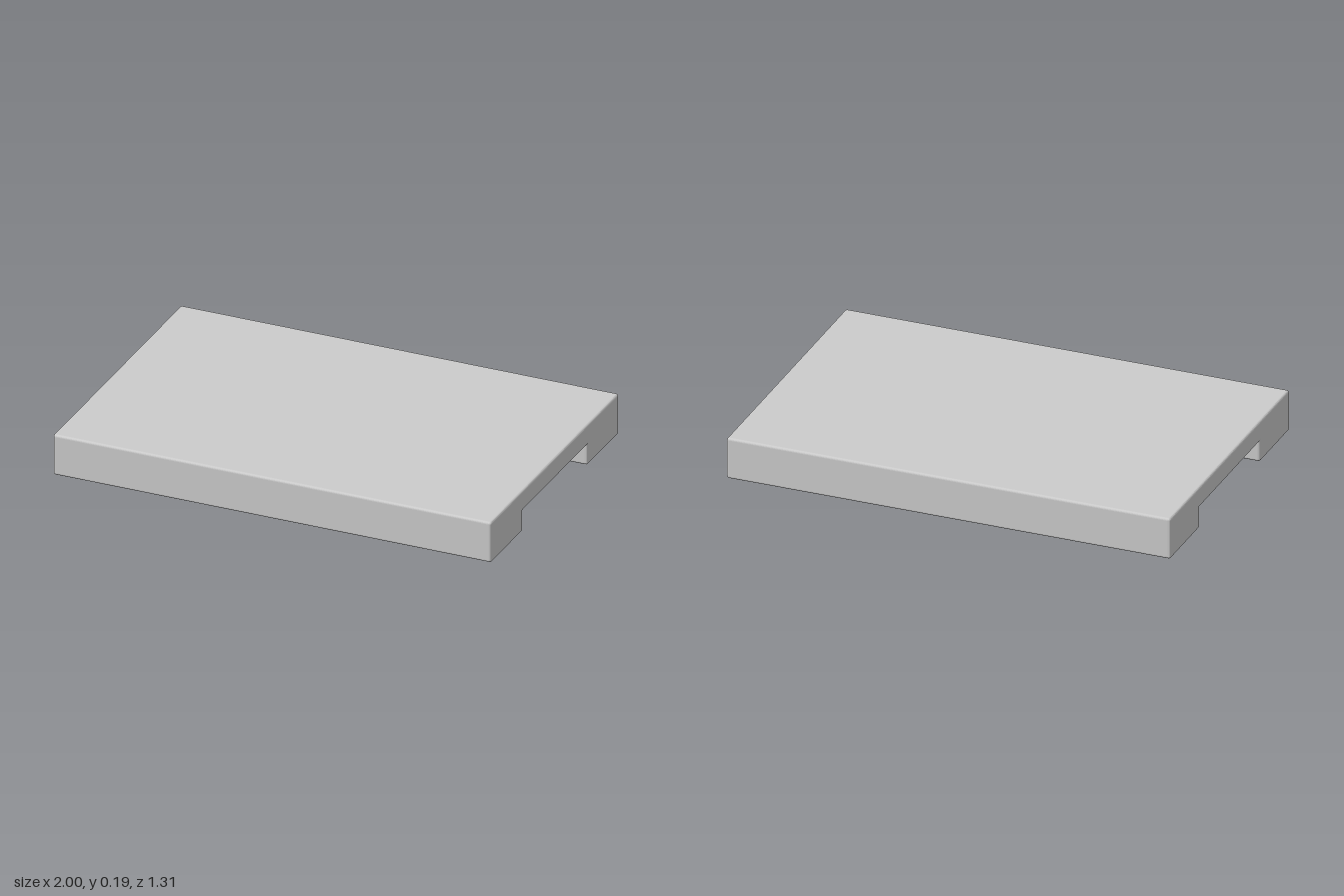
import * as THREE from 'three';

const W = 1.0, D = 0.655, H = 0.187; // half width, half depth, height
const NOTCH_X = 0.8, NOTCH_Z = 0.33, NOTCH_H = 0.095;
const BEVEL = 0.01, CORNER = 0.0125;

// Closed outline whose corners are softened by small curves
function roundedOutline(points) {
  const shape = new THREE.Shape();
  const pts = points.map(([x, y]) => new THREE.Vector2(x, y));
  pts.forEach((p, i) => {
    const prev = pts[(i + pts.length - 1) % pts.length];
    const next = pts[(i + 1) % pts.length];
    const a = p.clone().add(prev.clone().sub(p).setLength(CORNER));
    const b = p.clone().add(next.clone().sub(p).setLength(CORNER));
    if (i === 0) shape.moveTo(a.x, a.y);
    else shape.lineTo(a.x, a.y);
    shape.quadraticCurveTo(p.x, p.y, b.x, b.y);
  });
  shape.closePath();
  return shape;
}

// Upright layer with rounded edges between heights y0 and y1
function layer(name, points, y0, y1, material) {
  const geometry = new THREE.ExtrudeGeometry(roundedOutline(points), {
    depth: y1 - y0 - 2 * BEVEL,
    bevelSize: BEVEL,
    bevelThickness: BEVEL,
    bevelOffset: -BEVEL,
    bevelSegments: 4,
    curveSegments: 4,
  });
  geometry.rotateX(-Math.PI / 2).translate(0, y0 + BEVEL, 0);
  const mesh = new THREE.Mesh(geometry, material);
  mesh.name = name;
  return mesh;
}

export function createModel() {
  const group = new THREE.Group();
  group.name = 'board';
  const material = new THREE.MeshStandardMaterial({ color: 0xcccccc });

  // Top slab, its lower edge forming the rounded lip over each grip
  group.add(layer('topSlab', [[-W, -D], [W, -D], [W, D], [-W, D]], NOTCH_H, H, material));

  // Base with a hand grip cut into both ends; its top bevel is buried in the slab
  group.add(layer('notchedBase', [
    [-W, -D], [W, -D],
    [W, -NOTCH_Z], [NOTCH_X, -NOTCH_Z], [NOTCH_X, NOTCH_Z], [W, NOTCH_Z],
    [W, D], [-W, D],
    [-W, NOTCH_Z], [-NOTCH_X, NOTCH_Z], [-NOTCH_X, -NOTCH_Z], [-W, -NOTCH_Z],
  ], 0, NOTCH_H + 2 * BEVEL, material));

  return group;
}
